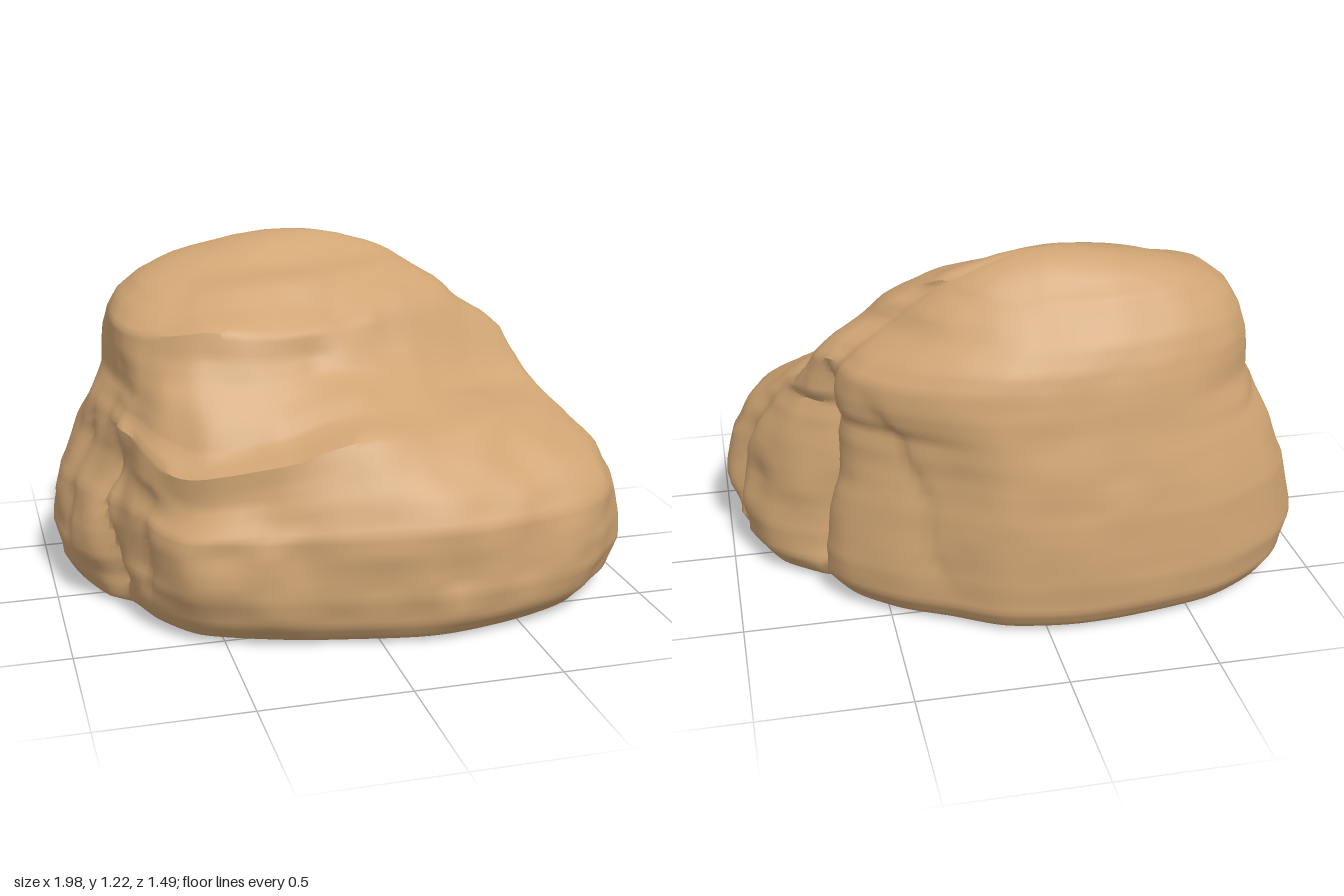
import * as THREE from 'three';
import { toCreasedNormals } from 'three/addons/utils/BufferGeometryUtils.js';

const smooth = THREE.MathUtils.smoothstep;
const lerp = THREE.MathUtils.lerp;

// Seeded lattice noise, -0.5 to 0.5
function hash(i, j, k) {
  const s = Math.sin(i * 127.1 + j * 311.7 + k * 74.7 + 5.3) * 43758.5453;
  return s - Math.floor(s);
}
function noise(x, y, z) {
  const i = Math.floor(x), j = Math.floor(y), k = Math.floor(z);
  const u = x - i, v = y - j, w = z - k;
  const edge = (b, c) => lerp(hash(i, j + b, k + c), hash(i + 1, j + b, k + c), u);
  const face = (c) => lerp(edge(0, c), edge(1, c), v);
  return lerp(face(0), face(1), w) - 0.5;
}

// Outlines as x, z, clockwise from above starting at the -x end
const lowerOutline = [
  [-1, -0.22], [-0.97, -0.38], [-0.85, -0.55], [-0.62, -0.68], [-0.3, -0.74], [-0.08, -0.75],
  [0.15, -0.71], [0.33, -0.61], [0.5, -0.52], [0.64, -0.4], [0.7, -0.3], [0.7, -0.25],
  [0.77, -0.21], [0.9, -0.1], [0.97, 0.05], [0.97, 0.13], [1, 0.22], [0.93, 0.42],
  [0.75, 0.6], [0.5, 0.7], [0.2, 0.75], [-0.15, 0.69], [-0.35, 0.64], [-0.62, 0.53],
  [-0.75, 0.36], [-0.82, 0.18], [-0.9, 0.1], [-0.96, -0.05],
];
const upperOutline = [
  [-0.78, -0.2], [-0.76, -0.35], [-0.67, -0.48], [-0.5, -0.57], [-0.28, -0.61], [-0.08, -0.62],
  [0.12, -0.6], [0.28, -0.54], [0.42, -0.46], [0.52, -0.37], [0.56, -0.3], [0.57, -0.26],
  [0.6, -0.23], [0.63, -0.2], [0.64, -0.16], [0.63, -0.11], [0.59, -0.05], [0.5, 0.01],
  [0.35, 0.08], [0.2, 0.15], [0, 0.23], [-0.2, 0.27], [-0.35, 0.28], [-0.52, 0.24],
  [-0.64, 0.17], [-0.7, 0.1], [-0.74, 0.02], [-0.77, -0.08],
];

// Extents of each level: y, min x, max x, min z, max z
const levels = [
  [0, -0.86, 0.86, -0.66, 0.64], [0.02, -0.92, 0.92, -0.71, 0.68],
  [0.08, -0.97, 0.98, -0.745, 0.72], [0.18, -1, 1, -0.75, 0.745],
  [0.4, -0.965, 0.965, -0.735, 0.75], [0.5, -0.92, 0.92, -0.72, 0.7],
  [0.6, -0.88, 0.86, -0.7, 0.635], [0.66, -0.85, 0.81, -0.685, 0.6],
  [0.7, -0.83, 0.79, -0.675, 0.48], [0.76, -0.8, 0.76, -0.665, 0.42],
  [0.84, -0.79, 0.71, -0.645, 0.32], [0.9, -0.78, 0.64, -0.625, 0.28],
  [0.97, -0.76, 0.52, -0.59, 0.25], [1.03, -0.72, 0.45, -0.545, 0.13],
  [1.09, -0.65, 0.34, -0.5, 0.04], [1.12, -0.57, 0.28, -0.465, -0.09],
  [1.16, -0.45, 0.2, -0.43, -0.15], [1.195, -0.3, 0.1, -0.385, -0.21],
  [1.213, -0.2, 0.02, -0.345, -0.25],
];

// Upright splits in the ends: side, z at the foot, lean, depth, lowest y, highest y
const cracks = [
  [1, 0.13, 0.07, 0.05, 0.05, 0.55], [1, -0.25, 0.05, 0.08, 0.03, 0.92],
  [1, -0.66, 0.3, 0.04, 0.1, 0.85], [-1, 0.15, -0.08, 0.05, 0.02, 0.75],
  [-1, 0.36, -0.1, 0.03, 0.05, 0.65], [-1, -0.06, -0.1, 0.025, 0.1, 0.8],
];

function weather(p) {
  const grow = smooth(p.y, 0.0, 0.12) * (1 - smooth(p.y, 1.12, 1.21) * 0.7);
  const rough = lerp(0.25, 1, smooth(p.z, -0.5, -0.15)) * grow;
  for (const [side, z0, lean, depth, low, high] of cracks) {
    const d = (p.z - z0 - lean * p.y - 0.03 * noise(0, p.y * 7, side)) / 0.035;
    const reach = smooth(p.y, low, low + 0.12) * (1 - smooth(p.y, high - 0.25, high));
    p.x -= side * depth * reach * smooth(p.x * side, 0.2, 0.45) * Math.exp(-Math.abs(d));
  }
  // Tilt the two ledges so they fall away towards the ends
  const { x, y, z } = p;
  const frontLedge = smooth(-x, 0.1, 0.65) * smooth(z, 0.2, 0.45) * smooth(y, 0.3, 0.65);
  const upperLedge = smooth(x, -0.1, 0.5) * smooth(z, -0.15, 0.1)
    * smooth(y, 0.65, 0.8) * (1 - smooth(y, 0.88, 1.02));
  p.y -= 0.1 * frontLedge + 0.08 * upperLedge;
  p.y += noise(x * 4, y * 3 + 20, z * 4) * 0.06 * rough * smooth(y, 0.3, 0.6);
  // Lumps push the face in and out
  const lump = noise(x * 3.7, y * 3.7, z * 3.7) * 0.075 + noise(x * 8, y * 9, z * 8 + 9) * 0.04 - 0.005;
  const spread = Math.hypot(x + 0.1, z + 0.05);
  p.x += ((x + 0.1) / spread) * lump * rough;
  p.z += ((z + 0.05) / spread) * lump * rough;
}

const COLS = lowerOutline.length * 6;

// Evenly sampled outline, scaled so that both axes run from -1 to 1
function unitRing(outline, cx, cz, halfX, halfZ) {
  const curve = new THREE.CatmullRomCurve3(
    outline.map(([x, z]) => new THREE.Vector3((x - cx) / halfX, 0, (z - cz) / halfZ)),
    true, 'catmullrom', 0.4);
  return Array.from({ length: COLS }, (_, j) => curve.getPoint(j / COLS));
}

function boulderGeometry() {
  const lower = unitRing(lowerOutline, 0, 0, 1, 0.75);
  const upper = unitRing(upperOutline, -0.07, -0.17, 0.71, 0.45);
  const positions = [], index = [], p = new THREE.Vector3();
  let rows = 0;

  function addRing([y, x0, x1, z0, z1]) {
    const blend = smooth(y, 0.45, 0.85);
    for (let j = 0; j < COLS; j++) {
      p.lerpVectors(lower[j], upper[j], blend);
      p.set((x0 + x1 + p.x * (x1 - x0)) / 2, y, (z0 + z1 + p.z * (z1 - z0)) / 2);
      weather(p);
      positions.push(p.x, p.y, p.z);
    }
    rows++;
  }
  levels.forEach((level, i) => {
    const next = levels[i + 1];
    const steps = next ? Math.max(2, Math.ceil((next[0] - level[0]) / 0.02)) : 1;
    for (let s = 0; s < steps; s++) {
      addRing(next ? level.map((a, n) => lerp(a, next[n], s / steps)) : level);
    }
  });

  // Skin between rings, then the crown and the flat underside
  const crown = rows * COLS, base = crown + 1;
  positions.push(-0.1, 1.218, -0.3, 0, 0, 0);
  for (let j = 0; j < COLS; j++) {
    const k = (j + 1) % COLS;
    for (let i = 0; i < rows - 1; i++) {
      const a = i * COLS + j, b = i * COLS + k;
      index.push(a, a + COLS, b, b, a + COLS, b + COLS);
    }
    index.push((rows - 1) * COLS + j, crown, (rows - 1) * COLS + k);
    index.push(j, k, base);
  }
  const geometry = new THREE.BufferGeometry();
  geometry.setAttribute('position', new THREE.Float32BufferAttribute(positions, 3));
  geometry.setIndex(index);
  return toCreasedNormals(geometry, 0.75);
}

export function createModel() {
  const sandstone = new THREE.MeshStandardMaterial({ color: 0xcfa473 });
  sandstone.name = 'sandstone';
  const boulder = new THREE.Mesh(boulderGeometry(), sandstone);
  boulder.name = 'boulder';
  const group = new THREE.Group();
  group.name = 'rock';
  group.add(boulder);
  return group;
}
